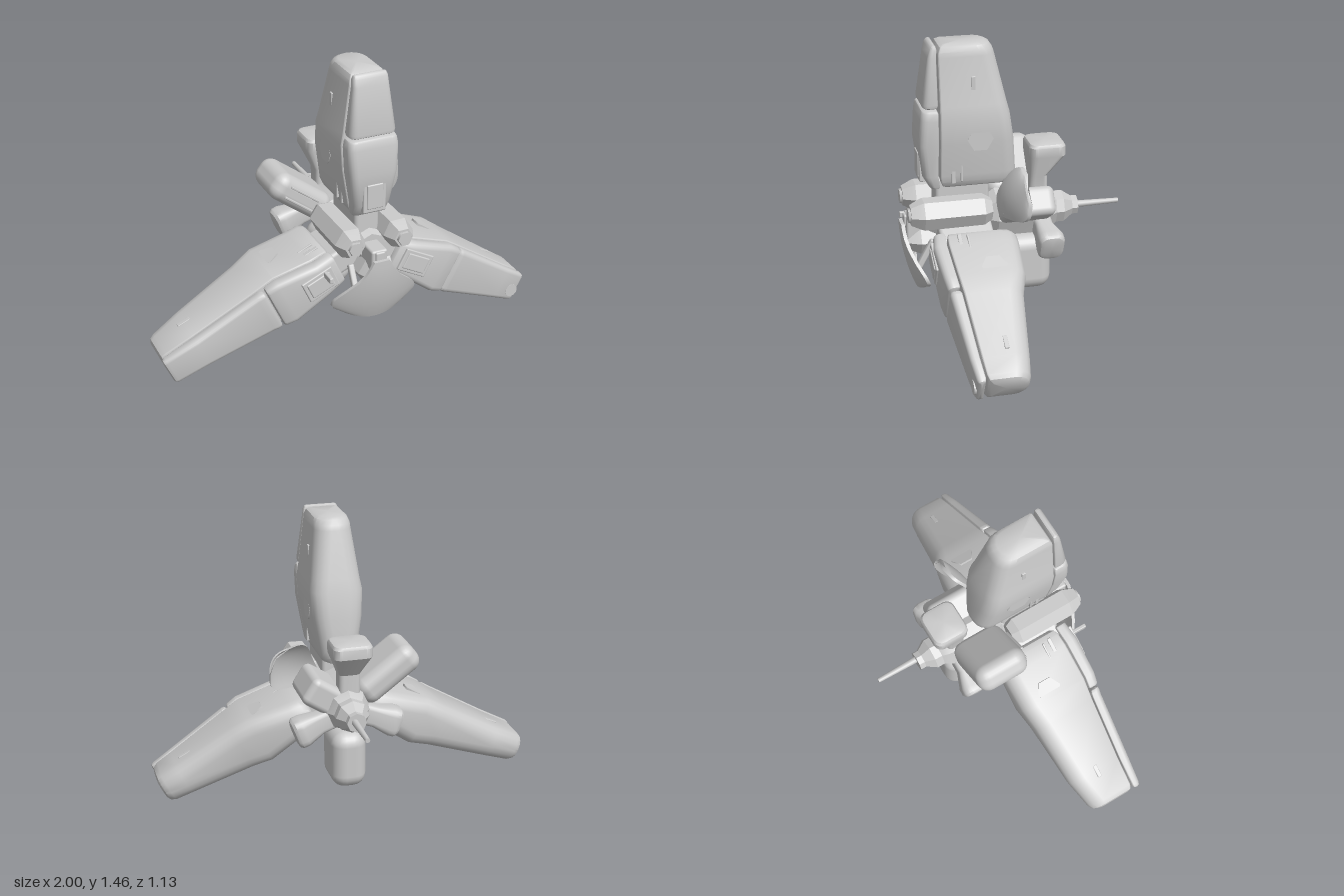
import * as THREE from 'three';
import { toCreasedNormals } from 'three/addons/utils/BufferGeometryUtils.js';
import { RoundedBoxGeometry } from 'three/addons/geometries/RoundedBoxGeometry.js';

const material = new THREE.MeshStandardMaterial({ color: 0xcccccc });
const HUB = [0.06, 0.57];
const deg = Math.PI / 180;

function add(parent, name, geometry, x = 0, y = 0, z = 0) {
  const mesh = new THREE.Mesh(geometry, material);
  mesh.name = name;
  mesh.position.set(x, y, z);
  parent.add(mesh);
  return mesh;
}

const box = (w, h, d, r) => new RoundedBoxGeometry(w, h, d, 3, r);

// Skin over a list of equal-length rings, closed at both ends
function loft(rings, crease = 0.6) {
  const n = rings[0].length, pos = rings.flat(2), index = [];
  for (let i = 0; i < rings.length - 1; i++)
    for (let j = 0; j < n; j++) {
      const a = i * n + j, b = i * n + (j + 1) % n;
      index.push(a, b, a + n, b, b + n, a + n);
    }
  [0, rings.length - 1].forEach((i) => {
    const c = pos.length / 3;
    for (let k = 0; k < 3; k++) pos.push(rings[i].reduce((t, p) => t + p[k], 0) / n);
    for (let j = 0; j < n; j++) {
      const a = i * n + j, b = i * n + (j + 1) % n;
      if (i === 0) index.push(c, b, a); else index.push(c, a, b);
    }
  });
  // turn the skin outward if the rings ran the other way
  let volume = 0;
  const p = (i) => new THREE.Vector3(pos[3 * i], pos[3 * i + 1], pos[3 * i + 2]);
  for (let i = 0; i < index.length; i += 3) volume += p(index[i]).dot(p(index[i + 1]).cross(p(index[i + 2])));
  if (volume < 0) index.reverse();
  const g = new THREE.BufferGeometry();
  g.setAttribute('position', new THREE.Float32BufferAttribute(pos, 3));
  g.setIndex(index);
  return toCreasedNormals(g, crease);
}

// Rounded rectangle across x and z at height s, with separate back and front corner radii
function ring(s, w, zb, zf, rb, rf, shrink = 0) {
  const pts = [], hw = w / 2 - shrink;
  zb += shrink; zf -= shrink;
  [[1, 1], [-1, 1], [-1, -1], [1, -1]].forEach(([sx, sz], q) => {
    const r = Math.min(sz > 0 ? rf : rb, hw * 0.95, (zf - zb) * 0.48);
    for (let k = 0; k <= 4; k++) {
      const t = (q + k / 4) * Math.PI / 2;
      pts.push([sx * (hw - r) + r * Math.cos(t), s, (sz > 0 ? zf - r : zb + r) + r * Math.sin(t)]);
    }
  });
  return pts;
}

// Section rows: distance from hub, thickness, back z, split z, front z
function sample(rows, s) {
  let i = 0;
  while (i < rows.length - 2 && rows[i + 1][0] < s) i++;
  const a = rows[i], b = rows[i + 1], t = (s - a[0]) / (b[0] - a[0]);
  return a.map((v, k) => v + (b[k] - v) * t);
}

function wingPiece(rows, s0, s1, front, bevel) {
  const steps = [s0, ...rows.map((r) => r[0]).filter((s) => s > s0 + bevel && s < s1 - bevel), s1];
  steps.splice(1, 0, s0 + bevel * 0.3, s0 + bevel);
  steps.splice(-1, 0, s1 - bevel, s1 - bevel * 0.3);
  const last = steps.length - 1;
  return loft(steps.map((s, i) => {
    const [, w, zb, zs, zf] = sample(rows, s);
    const shrink = (i === 0 || i === last) ? bevel * 0.7 : (i === 1 || i === last - 1) ? bevel * 0.22 : 0;
    return front ? ring(s, w * 0.98, zs + 0.004, zf, 0.006, 0.035, shrink)
      : ring(s, w, zb, zs - 0.004, 0.075, 0.008, shrink);
  }));
}

function radial(parent, name, angle) {
  const g = new THREE.Group();
  g.name = name;
  g.position.set(HUB[0], HUB[1], 0);
  g.rotation.z = (angle - 90) * deg;
  parent.add(g);
  return g;
}

function wing(parent, name, angle, rows, seam) {
  const g = radial(parent, name, angle);
  const s0 = rows[0][0], s1 = rows[rows.length - 1][0];
  add(g, 'wingBody', wingPiece(rows, s0, s1, false, 0.035));
  add(g, 'innerFrontArmour', wingPiece(rows, s0, seam - 0.004, true, 0.012));
  add(g, 'outerFrontArmour', wingPiece(rows, seam + 0.004, s1, true, 0.02));
  // raised panels on the front edge
  const f = sample(rows, s0 + 0.12);
  add(g, 'frontPanelFrame', box(0.12, 0.17, 0.03, 0.006), 0, f[0], f[4] - 0.008);
  add(g, 'frontPanel', box(0.085, 0.13, 0.03, 0.006), 0, f[0], f[4] - 0.002);
  // hatches on both broad faces
  for (const side of [-1, 1]) {
    const hatch = (s, z, h, d) => add(g, 'sideHatch', box(0.02, h, d, 0.003), side * (sample(rows, s)[1] / 2 - 0.006), s, z);
    hatch(s1 - 0.19, 0.2, 0.07, 0.022);
    hatch(s0 + 0.07, 0.3, 0.08, 0.02);
    hatch(s0 + 0.1, 0.26, 0.12, 0.01);
    const hex = add(g, 'accessCover', new THREE.CylinderGeometry(0.065, 0.065, 0.012, 6), side * (sample(rows, s0 + 0.26)[1] / 2 - 0.004), s0 + 0.26, 0.17);
    hex.rotation.z = Math.PI / 2;
  }
  // arm joining the wing to the hub
  add(g, 'wingArm', box(0.13, s0 + 0.06, 0.27, 0.02), 0, s0 / 2 + 0.02, 0.25);
}

// Curved shield plate swept back toward its outer rim
function shield(parent, name, angle, r0, r1, widths, z0, drop, bend, arc) {
  const g = radial(parent, name, angle);
  const curve = new THREE.CatmullRomCurve3(widths.map(([v, w]) => new THREE.Vector3(v, w, 0)));
  const rings = [];
  for (let i = 0; i <= 10; i++) {
    const { x: v, y: w } = curve.getPoint(i / 10), loop = [];
    for (let j = 0; j <= 25; j++) {
      const back = j > 12, u = (back ? 25 - j : j) / 6 - 1;
      loop.push([u * w, r0 + (r1 - r0) * v - arc * u * u * v,
        z0 - drop * v * v - bend * (u * w) ** 2 - (back ? 0.018 : 0)]);
    }
    rings.push(loop);
  }
  add(g, 'shieldPlate', loft(rings));
}

export function createModel() {
  const model = new THREE.Group();
  model.name = 'threeWingedCraft';

  // Wings
  wing(model, 'topWing', 90, [
    [0.19, 0.18, -0.03, 0.36, 0.41], [0.26, 0.2, -0.025, 0.37, 0.45], [0.43, 0.255, -0.01, 0.37, 0.47],
    [0.56, 0.27, 0.01, 0.37, 0.46], [0.62, 0.25, 0.025, 0.37, 0.45], [0.86, 0.19, 0.08, 0.37, 0.415],
    [0.92, 0.18, 0.1, 0.365, 0.4]], 0.61);
  wing(model, 'leftWing', -28, [
    [0.16, 0.17, 0.0, 0.36, 0.42], [0.25, 0.2, 0.0, 0.365, 0.435], [0.46, 0.27, 0.02, 0.36, 0.425],
    [0.56, 0.25, 0.05, 0.35, 0.41], [0.9, 0.18, 0.09, 0.33, 0.38], [1.025, 0.16, 0.11, 0.32, 0.365]], 0.53);
  wing(model, 'rightWing', 204.5, [
    [0.18, 0.18, 0.0, 0.36, 0.425], [0.28, 0.2, 0.0, 0.37, 0.44], [0.48, 0.265, 0.0, 0.365, 0.43],
    [0.6, 0.235, 0.02, 0.355, 0.41], [0.95, 0.175, 0.05, 0.335, 0.39], [1.14, 0.155, 0.09, 0.33, 0.375]], 0.55);
  add(model, 'wingTipLamp', new THREE.CylinderGeometry(0.035, 0.035, 0.04, 12), 0.92, 0.09, 0.355).rotation.x = Math.PI / 2;
  add(model, 'smallAntenna', box(0.02, 0.03, 0.12, 0.005), -0.19, 0.5, 0.46);

  // Core and tail, turned about the long axis
  const profile = [[0, 0.42], [0.07, 0.42], [0.1, 0.36], [0.1, 0.12], [0.13, 0.08], [0.13, -0.12],
    [0.105, -0.2], [0.085, -0.23], [0.085, -0.27], [0.05, -0.32], [0.05, -0.35], [0, -0.35]];
  const core = new THREE.LatheGeometry(profile.map(([r, z]) => new THREE.Vector2(r, z)).reverse(), 8).rotateX(Math.PI / 2);
  add(model, 'coreBody', toCreasedNormals(core, 0.4), 0.07, 0.58, 0);
  add(model, 'tailSpike', new THREE.CylinderGeometry(0.018, 0.012, 0.24, 12), 0.08, 0.585, -0.45).rotation.x = Math.PI / 2;
  add(model, 'noseBlock', box(0.085, 0.17, 0.2, 0.012), 0.06, 0.53, 0.43);
  add(model, 'noseSlot', box(0.05, 0.06, 0.05, 0.008), 0.06, 0.58, 0.515);

  // Six-sided pods between the wings
  [33, 147, -90].forEach((angle) => {
    const g = radial(model, 'hexPod', angle);
    const r = angle === -90 ? 0.1 : 0.155;
    const rings = [[0.12, 0.055], [0.16, 0.08], [0.46, 0.082], [0.48, 0.074], [0.525, 0.052]].map(([z, a]) =>
      Array.from({ length: 6 }, (_, k) => [a * Math.cos(k * 60 * deg), r + a * 0.95 * Math.sin(k * 60 * deg), z]));
    add(g, 'podShell', loft(rings, 0.3));
    const face = add(g, 'podFace', new THREE.CylinderGeometry(0.036, 0.04, 0.02, 6), 0, r, 0.527);
    face.rotation.set(Math.PI / 2, Math.PI / 6, 0);
  });

  // Rear blocks spread round the core
  add(radial(model, 'upperRightTank', 143), 'tankShell', box(0.15, 0.36, 0.28, 0.06), 0, 0.265, -0.04);
  const cap = radial(model, 'upperRightTankRibs', 143);
  for (const x of [-0.03, 0.03]) add(cap, 'tankRib', box(0.012, 0.18, 0.02, 0.004), x, 0.28, 0.1);
  add(radial(model, 'upperLeftBlock', 33), 'blockShell', box(0.15, 0.2, 0.27, 0.035), 0, 0.15, -0.055);
  add(radial(model, 'lowerTank', -90), 'tankShell', box(0.18, 0.3, 0.26, 0.07), 0, 0.27, -0.08);

  // Flared thrusters at the back
  [[90, 0.38, 0.2, -0.275], [-20, 0.3, 0.15, -0.22], [200, 0.28, 0.15, -0.22]].forEach(([angle, len, w, zb]) => {
    const g = radial(model, 'flaredThruster', angle);
    add(g, 'thrusterBell', loft([
      ring(0.04, 0.11, -0.19, -0.09, 0.025, 0.025), ring(len * 0.52, 0.11, -0.19, -0.1, 0.025, 0.025),
      ring(len * 0.82, w, zb, -0.09, 0.04, 0.04), ring(len - 0.02, w, zb, -0.09, 0.04, 0.04),
      ring(len - 0.006, w, zb, -0.09, 0.04, 0.04, 0.008), ring(len, w, zb, -0.09, 0.04, 0.04, 0.024)]));
  });

  // Shields, with the bracket behind the lower one
  shield(model, 'lowerShield', -90, 0.0, 0.345, [[0, 0.04], [0.3, 0.09], [0.72, 0.215], [0.9, 0.22], [1, 0.18]], 0.558, 0.07, 0.8, 0.06);
  shield(model, 'leftShield', 37, 0.16, 0.43, [[0, 0.05], [0.3, 0.09], [0.65, 0.135], [0.85, 0.125], [1, 0.08]], 0.09, 0.09, 2, 0.03);
  for (const x of [-0.04, 0.16]) {
    const strut = add(model, 'shieldStrut', box(0.03, 0.18, 0.03, 0.008), x, 0.42, 0.45);
    strut.rotation.x = -0.5;
  }
  return model;
}
